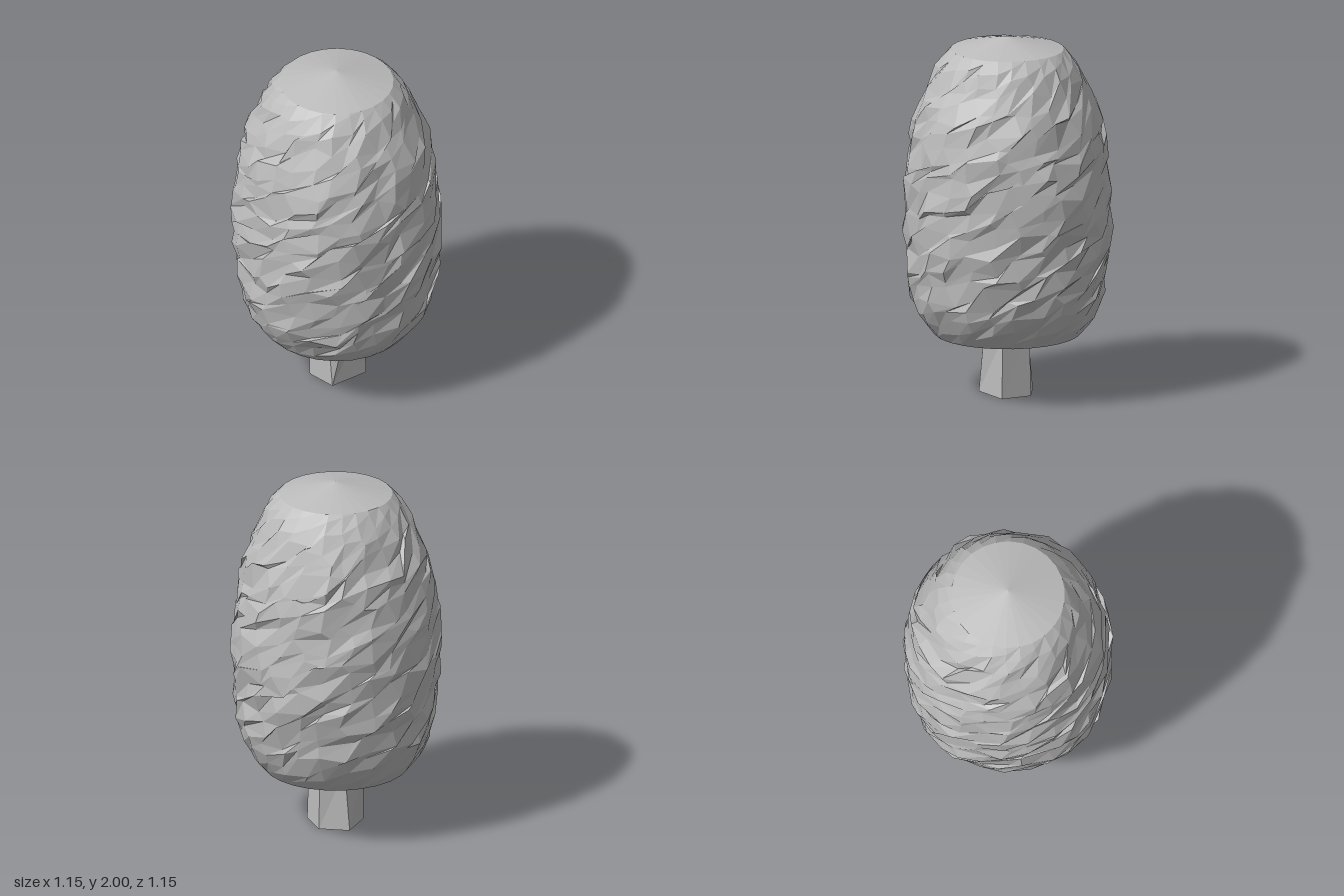
import * as THREE from 'three';

// Small seeded random in -1..1
function makeRandom(seed) {
  let s = seed;
  return () => {
    s = (s * 16807) % 2147483647;
    return (s / 2147483647) * 2 - 1;
  };
}

// Crown outline: height, radius
const PROFILE = [
  [0.34, 0.4], [0.43, 0.475], [0.55, 0.525], [0.7, 0.55], [0.85, 0.562], [1.0, 0.568],
  [1.2, 0.56], [1.4, 0.54], [1.6, 0.495], [1.8, 0.405], [1.88, 0.36], [1.93, 0.31],
];

function radiusAt(y) {
  for (let k = 1; k < PROFILE.length; k++) {
    const [y0, r0] = PROFILE[k - 1], [y1, r1] = PROFILE[k];
    if (y <= y1) return r0 + ((r1 - r0) * (y - y0)) / (y1 - y0);
  }
  return 0.31;
}

function meshFrom(name, triangles, material) {
  const geometry = new THREE.BufferGeometry();
  geometry.setAttribute('position', new THREE.Float32BufferAttribute(triangles.flat().flat(), 3));
  geometry.computeVertexNormals();
  const mesh = new THREE.Mesh(geometry, material);
  mesh.name = name;
  return mesh;
}

// Rough crown: rows climb as a helix, with jitter that folds some faces over
function makeCrown(material) {
  const cols = 26, rows = 24, climb = 12, low = 0.34, high = 1.93;
  const random = makeRandom(4711);
  const grid = new Map();
  const point = (i, j) => {
    if (j === cols) { j = 0; i = Math.min(i + climb, rows); }
    return grid.get(i * 100 + j);
  };
  for (let i = -climb; i <= rows; i++) {
    for (let j = 0; j < cols; j++) {
      const t = THREE.MathUtils.clamp((i + (climb * j) / cols) / rows, 0, 1);
      const fade = Math.min(1, t * 7, (1 - t) * 9);
      const y = THREE.MathUtils.clamp(low + t * (high - low) + random() * 0.042 * fade, low, high);
      const r = radiusAt(y) + random() * 0.017 * fade;
      const a = ((j + random() * 0.35 * fade) / cols) * Math.PI * 2;
      grid.set(i * 100 + j, { t, p: [r * Math.sin(a), y, r * Math.cos(a)] });
    }
  }
  const triangles = [];
  const add = (...corners) => {
    const flatEnd = [0, 1].some((end) => corners.every((c) => c.t === end));
    if (!flatEnd) triangles.push(corners.map((c) => c.p));
  };
  for (let i = -climb; i < rows; i++) {
    for (let j = 0; j < cols; j++) {
      const a = point(i, j), b = point(i, j + 1), c = point(i + 1, j + 1), d = point(i + 1, j);
      add(a, b, c);
      add(a, c, d);
    }
  }
  // Smooth shallow cone on top and underneath
  for (let j = 0; j < cols; j++) {
    triangles.push([point(rows, j).p, point(rows, j + 1).p, [0, 2, 0]]);
    const next = grid.get(-climb * 100 + ((j + 1) % cols)).p;
    triangles.push([next, grid.get(-climb * 100 + j).p, [0, 0.31, 0]]);
  }
  return meshFrom('crown', triangles, material);
}

// Five-cornered trunk whose front right corner widens into a bevel
function makeTrunk(material) {
  const bottom = [[-0.16, -0.04], [-0.08, 0.13], [0.088, 0.13], [0.088, 0.13], [0.135, -0.09], [-0.03, -0.15]];
  const top = [[-0.12, -0.04], [-0.09, 0.125], [0.05, 0.125], [0.12, 0.06], [0.125, -0.085], [-0.03, -0.14]];
  const at = (ring, k, y) => [ring[k % 6][0], y, ring[k % 6][1]];
  const triangles = [];
  for (let k = 0; k < 6; k++) {
    const a = at(bottom, k, 0), b = at(bottom, k + 1, 0), c = at(top, k + 1, 0.34), d = at(top, k, 0.34);
    if (k !== 2) triangles.push([a, b, c]);
    triangles.push([a, c, d]);
    if (k !== 2) triangles.push([b, a, [0, 0, 0]]);
  }
  return meshFrom('trunk', triangles, material);
}

export function createModel() {
  const grey = new THREE.MeshStandardMaterial({ color: 0xbcbcbc });
  grey.name = 'plain grey';
  grey.flatShading = true;
  grey.side = THREE.DoubleSide;

  const tree = new THREE.Group();
  tree.name = 'tree';
  tree.add(makeCrown(grey), makeTrunk(grey));
  return tree;
}
